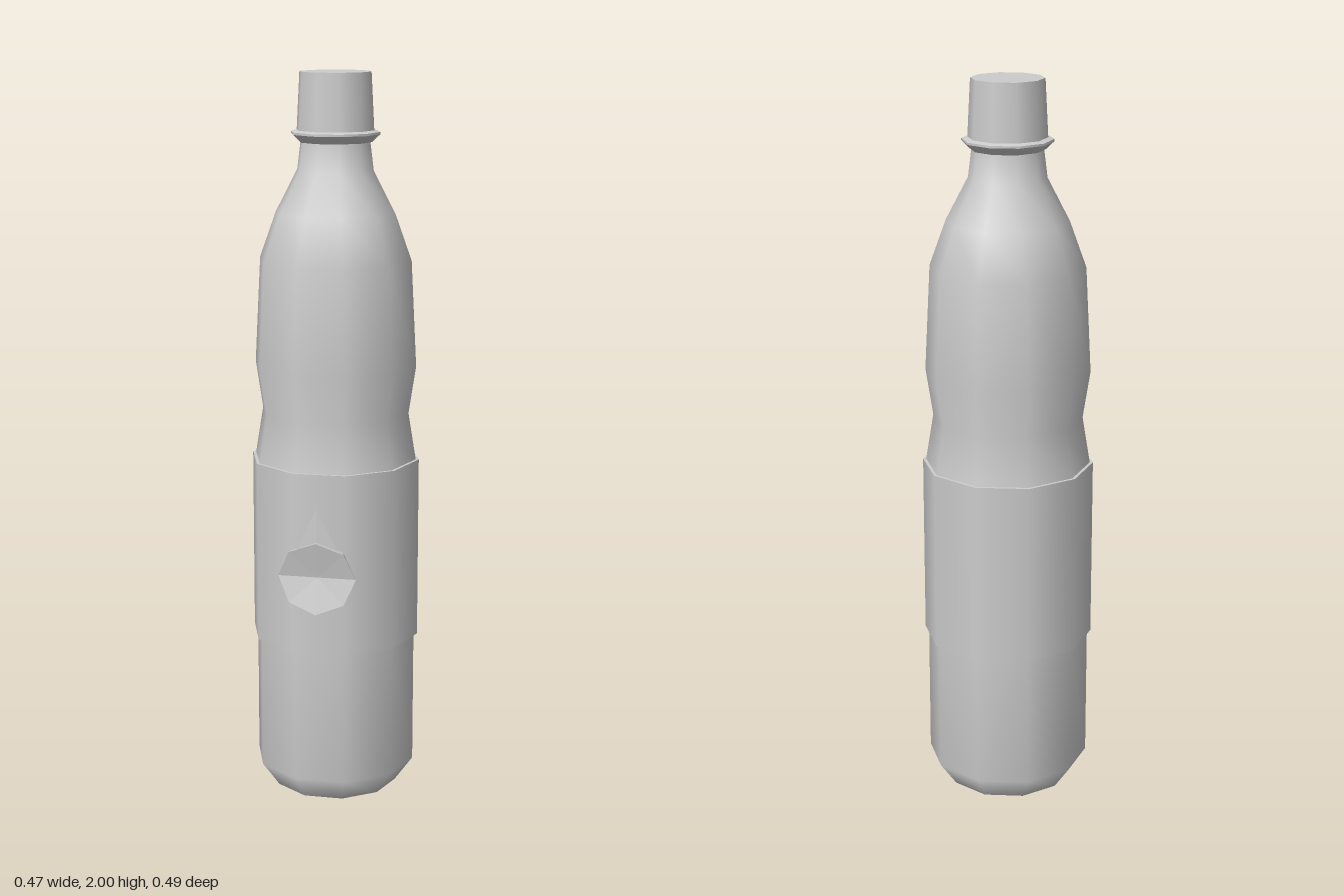
import * as THREE from 'three';

const SIDES = 10;
const AXIS_Z = -0.022; // the bottle axis sits slightly behind centre because of the badge

export function createModel() {
  const model = new THREE.Group();
  model.name = 'bottle';
  const grey = new THREE.MeshStandardMaterial({ color: 0xcccccc });
  grey.name = 'plain grey';
  const greyThin = grey.clone();
  greyThin.side = THREE.DoubleSide;

  // Ten-sided turned part, profile [radius, height] from bottom to top
  const turned = (name, profile) => {
    const points = profile.map(([r, y]) => new THREE.Vector2(r, y));
    const mesh = new THREE.Mesh(new THREE.LatheGeometry(points, SIDES, Math.PI / 2), grey);
    mesh.name = name;
    mesh.position.z = AXIS_Z;
    model.add(mesh);
  };

  // Bottle body
  turned('base', [[0, 0], [0.175, 0]]);
  turned('lowerBody', [[0.175, 0], [0.225, 0.07], [0.225, 0.45]]);
  turned('upperBody', [
    [0.228, 0.94], [0.205, 1.08], [0.225, 1.21], [0.21, 1.5],
    [0.165, 1.625], [0.105, 1.74], [0.095, 1.82],
  ]);

  // Wrapped label with narrow lips
  turned('labelLowerLip', [[0.222, 0.445], [0.235, 0.445]]);
  turned('label', [[0.235, 0.445], [0.235, 0.95]]);
  turned('labelUpperLip', [[0.235, 0.95], [0.222, 0.95]]);

  // Neck collar
  turned('collarUnderside', [[0.09, 1.815], [0.1, 1.815], [0.122, 1.836]]);
  turned('collarRim', [[0.122, 1.836], [0.122, 1.842]]);
  turned('collarTop', [[0.122, 1.842], [0.1, 1.848]]);

  // Screw cap
  turned('cap', [[0.106, 1.846], [0.098, 2]]);
  turned('capTop', [[0.098, 2], [0, 2]]);

  // Badge: eight-sided disc bent around the label, creased at its middle
  const triangles = [];
  const ring = (radius, depth) => Array.from({ length: 8 }, (_, i) => {
    const a = (i * Math.PI) / 4;
    return [radius * Math.cos(a), 0.67 + 0.1 * Math.sin(a),
      depth + 0.022 * Math.abs(Math.sin(a)) ** 1.5];
  });
  const front = ring(0.107, 0.221);
  const back = ring(0.098, 0.197);
  for (let i = 0; i < 8; i++) {
    const j = (i + 1) % 8;
    triangles.push([0, 0.67, 0.221], front[i], front[j]);
    triangles.push([0, 0.67, 0.197], back[j], back[i]);
    triangles.push(front[i], back[i], back[j], front[i], back[j], front[j]);
  }
  const facets = (name, corners, material) => {
    const geometry = new THREE.BufferGeometry();
    geometry.setAttribute('position', new THREE.Float32BufferAttribute(corners.flat(), 3));
    geometry.computeVertexNormals();
    const mesh = new THREE.Mesh(geometry, material);
    mesh.name = name;
    model.add(mesh);
  };
  facets('badge', triangles, grey);

  // Thin pointed leaf rising behind the badge
  const tip = [0, 0.862, 0.229];
  const middle = [0, 0.735, 0.23];
  facets('badgePoint', [
    tip, [-0.063, 0.735, 0.223], middle,
    tip, middle, [0.063, 0.735, 0.223],
  ], greyThin);

  return model;
}
